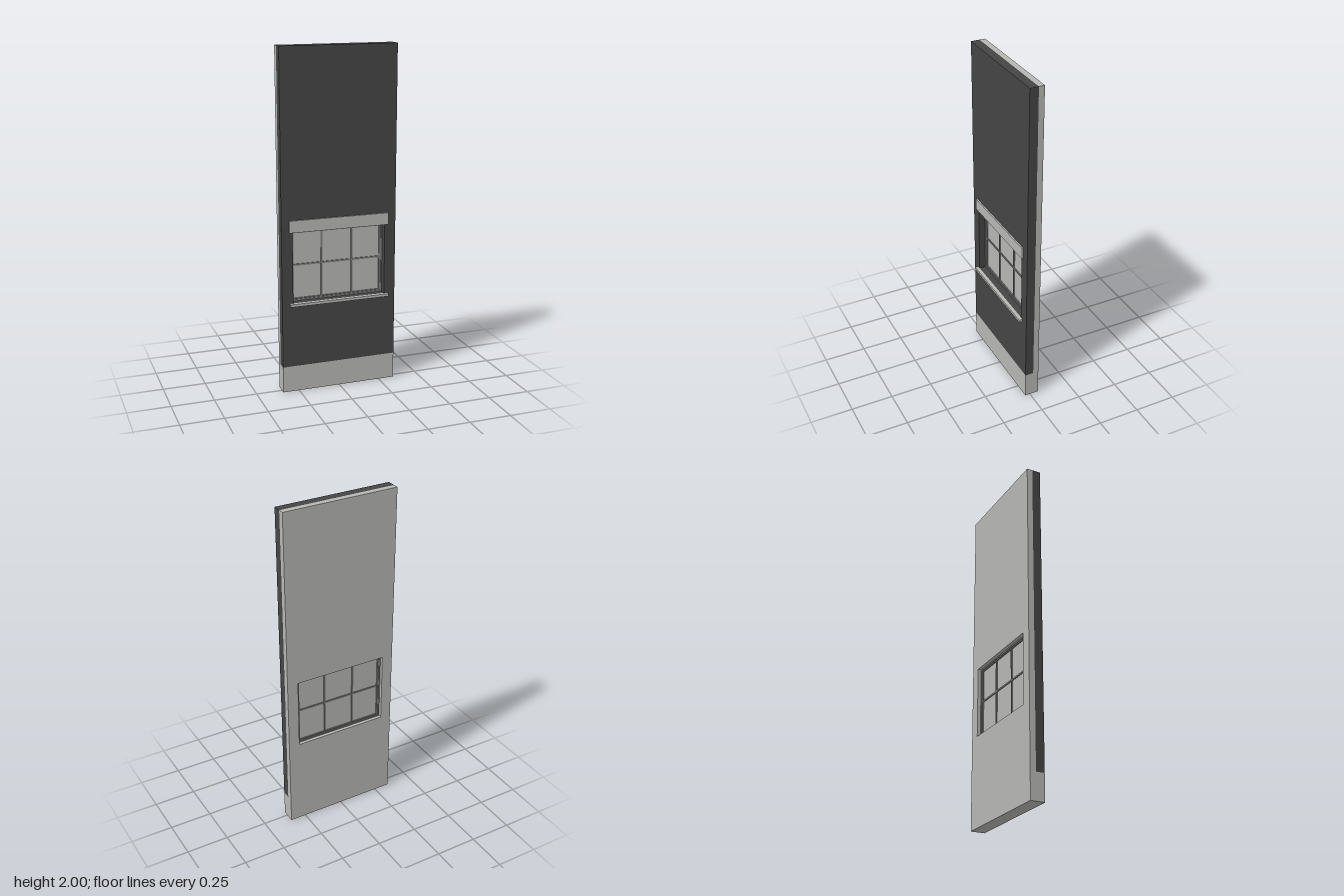
import * as THREE from 'three';

const plaster = new THREE.MeshStandardMaterial({ color: 0xb6b6b3 });
plaster.name = 'pale plaster';
const cladding = new THREE.MeshStandardMaterial({ color: 0x454545 });
cladding.name = 'dark cladding';
const frameGrey = new THREE.MeshStandardMaterial({ color: 0x808080 });
frameGrey.name = 'window grey';

// Box given by its lower and upper limits on each axis
function box(name, material, [x0, x1], [y0, y1], [z0, z1]) {
  const mesh = new THREE.Mesh(new THREE.BoxGeometry(x1 - x0, y1 - y0, z1 - z0), material);
  mesh.position.set((x0 + x1) / 2, (y0 + y1) / 2, (z0 + z1) / 2);
  mesh.name = name;
  return mesh;
}

// Upright slab with a rectangular opening
function slab(name, material, [x0, x1], [y0, y1], [z0, z1], [hx, hy0, hy1]) {
  const outline = (Type, a, b, c, d) => new Type([
    new THREE.Vector2(a, c), new THREE.Vector2(b, c),
    new THREE.Vector2(b, d), new THREE.Vector2(a, d)]);
  const shape = outline(THREE.Shape, x0, x1, y0, y1);
  shape.holes.push(outline(THREE.Path, -hx, hx, hy0, hy1));
  const geometry = new THREE.ExtrudeGeometry(shape, { depth: z1 - z0, bevelEnabled: false });
  geometry.translate(0, 0, z0);
  const mesh = new THREE.Mesh(geometry, material);
  mesh.name = name;
  return mesh;
}

export function createModel() {
  const model = new THREE.Group();
  model.name = 'wallPanel';
  const width = [-0.346, 0.346];
  const opening = [0.28, 0.54, 0.96];

  // Wall layers and plinth
  model.add(slab('innerWall', plaster, width, [0, 2], [-0.054, -0.02], opening));
  model.add(slab('outerCladding', cladding, width, [0.155, 2], [-0.02, 0.031], opening));
  model.add(box('plinth', plaster, width, [0, 0.155], [-0.02, 0.031]));

  // Outside trim
  model.add(box('header', plaster, [-0.3, 0.3], [0.96, 1.03], [0.031, 0.04]));
  model.add(box('sill', plaster, [-0.3, 0.3], [0.525, 0.541], [0.031, 0.053]));

  // Window set back in the opening
  const win = new THREE.Group();
  win.name = 'window';
  win.add(slab('windowFrame', frameGrey, [-0.28, 0.28], [0.54, 0.96], [-0.034, -0.008], [0.272, 0.549, 0.951]));
  win.add(slab('sash', frameGrey, [-0.272, 0.272], [0.549, 0.951], [-0.03, -0.012], [0.262, 0.556, 0.944]));
  win.add(box('glass', plaster, [-0.262, 0.262], [0.556, 0.944], [-0.023, -0.019]));
  for (const x of [-0.093, 0.093]) {
    win.add(box('verticalBar', frameGrey, [x - 0.005, x + 0.005], [0.556, 0.944], [-0.029, -0.013]));
  }
  win.add(box('horizontalBar', frameGrey, [-0.262, 0.262], [0.75, 0.76], [-0.0285, -0.0135]));
  model.add(win);

  return model;
}
